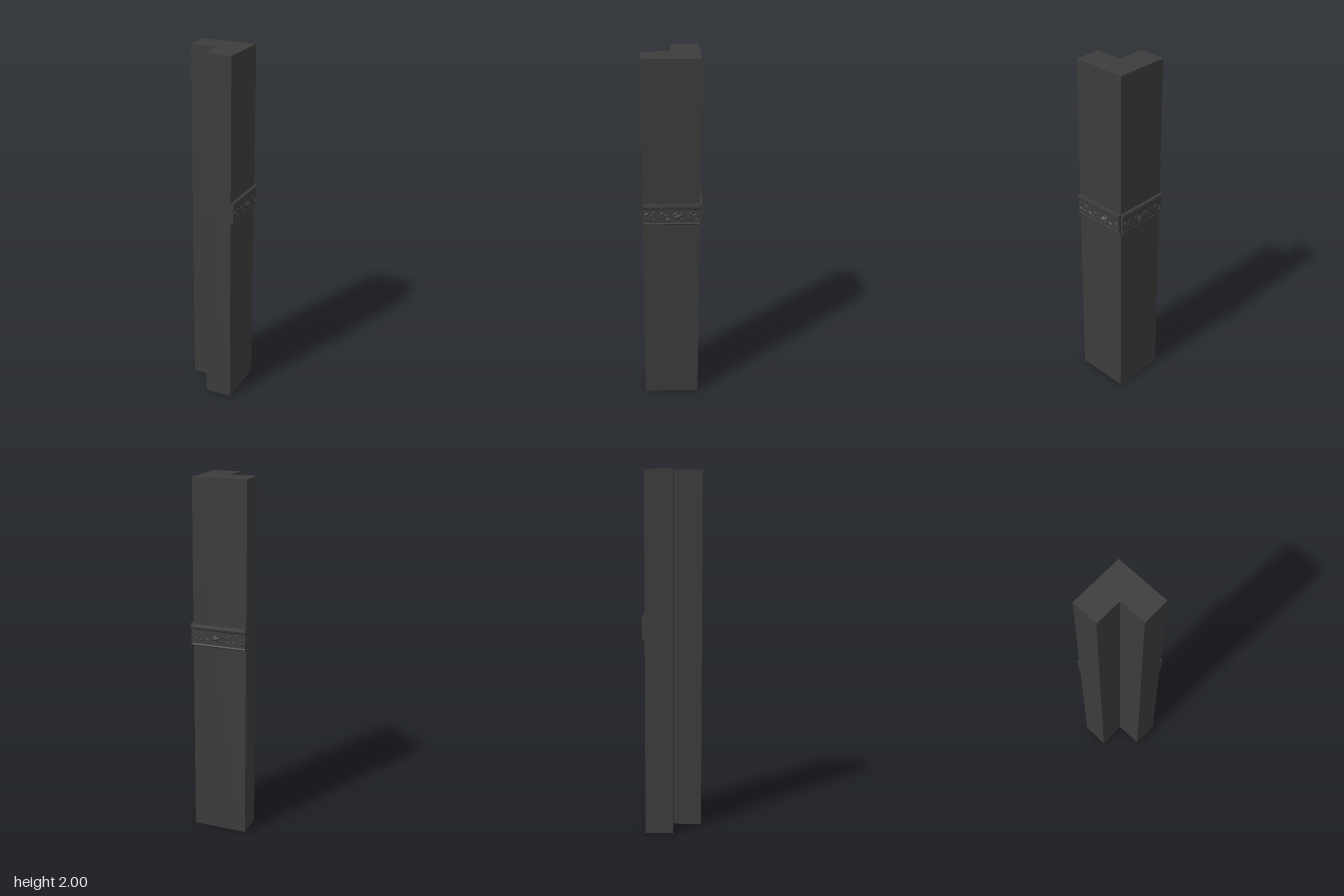
import * as THREE from 'three';

const material = new THREE.MeshStandardMaterial({ color: 0x3c3c3c, flatShading: true });

function part(name, geometry) {
  const mesh = new THREE.Mesh(geometry, material);
  mesh.name = name;
  return mesh;
}

function shapeOf(points) {
  return new THREE.Shape(points.map(([x, y]) => new THREE.Vector2(x, y)));
}

// Faceted leaf lying on the band face, its ridge pointing outwards
function leaf(u, y, length, width, height, angle) {
  const g = new THREE.ConeGeometry(1, 1, 4);
  g.rotateX(Math.PI / 2).translate(0, 0, 0.5);
  g.scale(length / 2, width / 2, height).rotateZ(angle);
  return part('carvedLeaf', g.translate(u, y, 0.012));
}

// Low curled stem
function scroll(u, y, radius, angle) {
  const g = new THREE.TorusGeometry(radius, 0.004, 4, 7, Math.PI * 1.3);
  g.rotateZ(angle);
  return part('carvedScroll', g.translate(u, y, 0.012));
}

// Moulded strip: x runs along it, z points out of the wall
function band(name, length, peak) {
  const group = new THREE.Group();
  group.name = name;
  const profile = shapeOf([
    [-0.002, 1.09], [0.013, 1.09], [0.016, 1.097], [0.013, 1.104],
    [0.013, 1.182], [0.017, 1.187], [0.019, 1.196], [0.016, 1.21], [-0.002, 1.21],
  ]);
  const strip = new THREE.ExtrudeGeometry(profile, { depth: length, bevelEnabled: false });
  strip.rotateY(-Math.PI / 2).translate(length, 0, 0);
  group.add(part('bandMoulding', strip));

  // Repeating carved foliage
  for (let i = 0; i < 4; i++) {
    const u = length * (i + 0.5) / 4;
    const s = i % 2 ? -1 : 1;
    group.add(
      leaf(u - 0.022, 1.143 + s * 0.012, 0.045, 0.014, 0.008, s * 0.6),
      leaf(u - 0.016, 1.143 - s * 0.014, 0.036, 0.012, 0.007, -s * 0.8),
      leaf(u + 0.02, 1.143 + s * 0.018, 0.034, 0.012, 0.008, -s * 0.4),
      scroll(u + 0.012, 1.138, 0.013, s * 1.6),
    );
  }
  // Prominent central bud
  group.add(leaf(peak, 1.14, 0.05, 0.036, 0.014, 0.25));
  return group;
}

export function createModel() {
  const model = new THREE.Group();
  model.name = 'cornerPost';

  // L-shaped post, notch at the front right
  const outline = shapeOf([
    [-0.167, -0.012], [-0.013, -0.012], [-0.013, -0.167],
    [0.139, -0.167], [0.139, 0.141], [-0.167, 0.141],
  ]);
  const post = new THREE.ExtrudeGeometry(outline, { depth: 2, bevelEnabled: false });
  post.rotateX(-Math.PI / 2);
  model.add(part('post', post));

  // Carved bands on the two outer faces
  const side = band('sideBand', 0.308, 0.192);
  side.rotation.y = Math.PI / 2;
  side.position.set(0.139, 0, 0.167);
  const back = band('backBand', 0.306, 0.134);
  back.rotation.y = Math.PI;
  back.position.set(0.139, 0, -0.141);
  model.add(side, back);

  return model;
}
